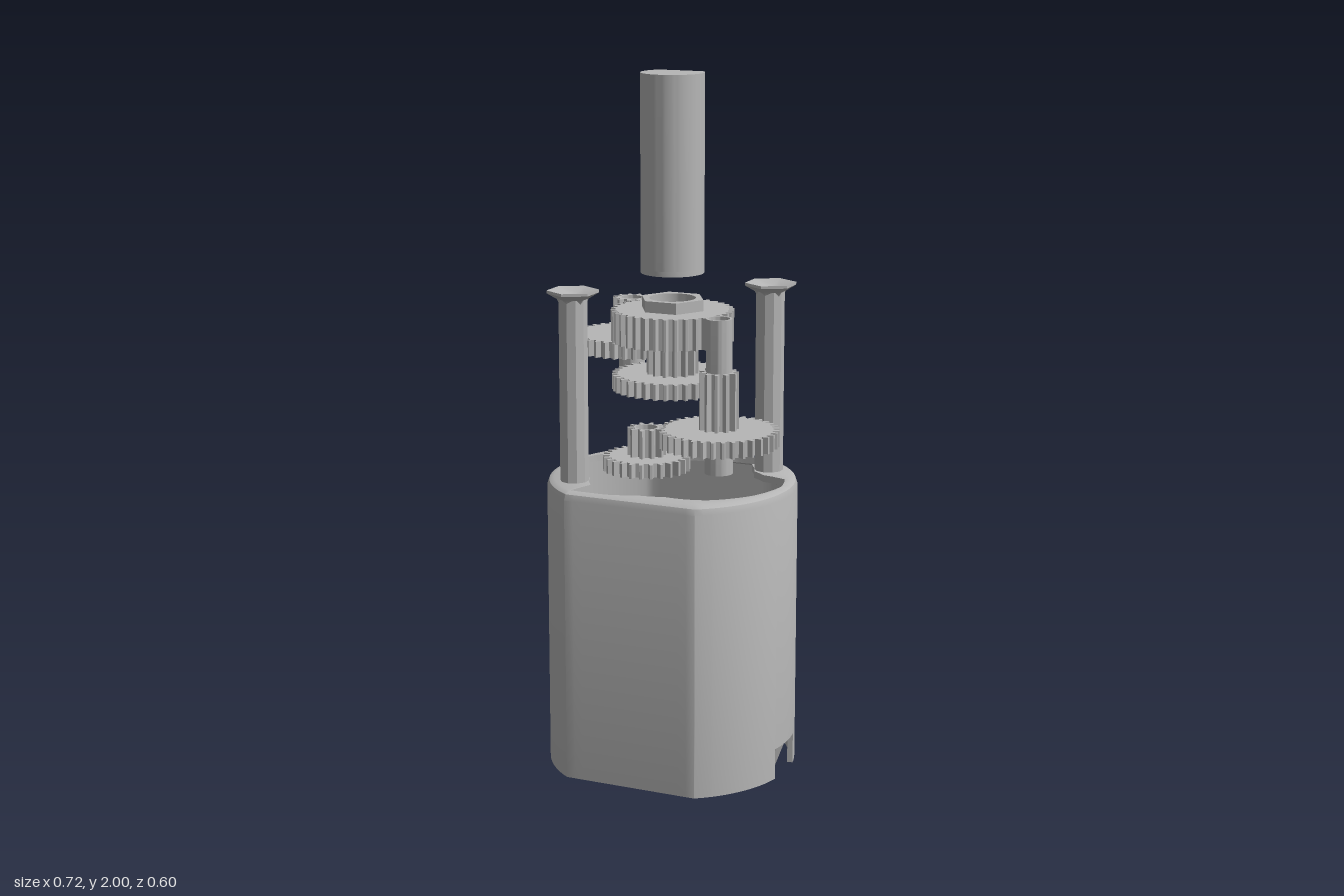
import * as THREE from 'three';
import { toCreasedNormals } from 'three/addons/utils/BufferGeometryUtils.js';

const grey = new THREE.MeshStandardMaterial({ color: 0xb6b6b6 });
grey.name = 'plain grey';

function part(parent, name, geometry) {
  const mesh = new THREE.Mesh(toCreasedNormals(geometry, 0.6), grey);
  mesh.name = name;
  parent.add(mesh);
  return mesh;
}

// Extrude a plan shape upward from y0 to y1
function extrudeUp(shape, y0, y1) {
  return new THREE.ExtrudeGeometry(shape, { depth: y1 - y0, bevelEnabled: false, curveSegments: 24 })
    .rotateX(-Math.PI / 2).translate(0, y0, 0);
}

function addBore(shape, radius) {
  if (radius) shape.holes.push(new THREE.Path().absarc(0, 0, radius, 0, Math.PI * 2, true));
  return shape;
}

// Spur gear with narrow trapezoid teeth
function gearShape(root, tip, teeth, bore) {
  const pts = [];
  const pitch = (Math.PI * 2) / teeth;
  for (let i = 0; i < teeth; i++) {
    for (const [f, r] of [[0, root], [0.4, root], [0.58, tip], [0.82, tip]]) {
      const a = (i + f) * pitch;
      pts.push(new THREE.Vector2(r * Math.cos(a), r * Math.sin(a)));
    }
  }
  return addBore(new THREE.Shape(pts), bore);
}

function tubeShape(radius, bore) {
  return addBore(new THREE.Shape().absarc(0, 0, radius, 0, Math.PI * 2, false), bore);
}

// Radius of the rounded plan: a circle cut by two flats
function planRadius(a, inset) {
  return Math.min(0.36 - inset, (0.3 - inset) / Math.max(Math.abs(Math.sin(a)), 1e-6));
}

// Radius of the top opening, narrowing at the two post corners
const opening = [[-1.571, 0.25], [-0.966, 0.334], [-0.881, 0.259], [-0.576, 0.239], [-0.395, 0.26],
  [-0.249, 0.325], [0, 0.335], [0.38, 0.323], [0.833, 0.297], [1.243, 0.248], [1.571, 0.25]];
function openingRadius(a) {
  const t = a - Math.PI * Math.round(a / Math.PI);
  for (let i = 1; i < opening.length; i++) {
    const [a0, r0] = opening[i - 1], [a1, r1] = opening[i];
    if (t <= a1) return r0 + (r1 - r0) * (t - a0) / (a1 - a0);
  }
  return 0.25;
}

// Thin-walled housing, open below, with notches along its lower edge
function housingGeometry() {
  const notches = [[0, 0.196], [Math.PI, 0.196], [Math.PI * 1.5, 0.155]];
  const columns = [];
  const corner = Math.atan2(0.3, 0.2);
  const angles = [corner, Math.PI - corner, Math.PI + corner, 2 * Math.PI - corner];
  for (let i = 0; i < 96; i++) angles.push((i / 96) * Math.PI * 2);
  for (const [a] of opening) angles.push((a + Math.PI * 2) % (Math.PI * 2), a + Math.PI);
  for (const a of angles) {
    const cut = notches.some(([c, w]) => Math.abs(Math.atan2(Math.sin(a - c), Math.cos(a - c))) < w);
    columns.push({ a, low: cut ? 0.09 : 0, order: a });
  }
  for (const [c, w] of notches) {
    for (const s of [-1, 1]) {
      const a = (c + s * w + Math.PI * 2) % (Math.PI * 2);
      columns.push({ a, low: 0, order: a + s * 1e-5 }, { a, low: 0.09, order: a - s * 1e-5 });
    }
  }
  columns.sort((p, q) => p.order - q.order);

  const rings = columns.map(({ a, low }) => {
    const hole = Math.min(openingRadius(a), planRadius(a, 0.022));
    return [[planRadius(a, 0), low], [planRadius(a, 0), 0.825], [planRadius(a, 0.006), 0.842],
      [planRadius(a, 0.02), 0.85], [hole, 0.85], [hole, 0.83], [planRadius(a, 0.016), 0.825],
      [planRadius(a, 0.016), low]].map(([r, y]) => [r * Math.cos(a), y, r * Math.sin(a)]);
  });
  const pos = [];
  for (let j = 0; j < rings.length; j++) {
    const p = rings[j], q = rings[(j + 1) % rings.length];
    for (let k = 0; k < p.length; k++) {
      const n = (k + 1) % p.length;
      pos.push(...p[k], ...p[n], ...q[n], ...p[k], ...q[n], ...q[k]);
    }
  }
  const g = new THREE.BufferGeometry();
  g.setAttribute('position', new THREE.Float32BufferAttribute(pos, 3));
  g.computeVertexNormals();
  return g;
}

export function createModel() {
  const model = new THREE.Group();
  model.name = 'gearbox';
  part(model, 'housing', housingGeometry());

  // Bent tabs between the side notches, and the two screw posts
  for (const s of [-1, 1]) {
    const tab = part(model, 'bentTab', new THREE.BoxGeometry(0.014, 0.105, 0.07));
    tab.position.set(s * 0.325, 0.052, 0);
    tab.rotation.z = -s * 0.36;

    const post = new THREE.Group();
    post.name = 'screwPost';
    post.position.set(s * 0.23, 0, -s * 0.17);
    model.add(post);
    part(post, 'postShank', new THREE.CylinderGeometry(0.041, 0.041, 0.545, 10).translate(0, 1.1075, 0));
    const profile = [[0.04, 1.365], [0.045, 1.375], [0.074, 1.392], [0.074, 1.4], [0.03, 1.388], [0, 1.378]];
    part(post, 'screwHead', new THREE.LatheGeometry(profile.map(([x, y]) => new THREE.Vector2(x, y)), 6));
  }

  // Gear clusters: position, then stacked toothed wheels and plain sleeves
  const clusters = [
    { name: 'firstGear', x: 0, z: 0.178,
      wheels: [[0.91, 0.95, 0.104, 0.123, 26, 0.03], [0.95, 1.03, 0.036, 0.054, 10, 0.03]],
      sleeves: [[0.9, 0.91, 0.045, 0.03]] },
    { name: 'secondGear', x: 0.188, z: 0.105,
      wheels: [[0.98, 1.027, 0.152, 0.17, 36, 0.03], [1.027, 1.19, 0.04, 0.056, 11, 0.03]],
      sleeves: [[0.9, 0.98, 0.04, 0.03], [1.19, 1.34, 0.037, 0.03]] },
    { name: 'thirdGear', x: 0, z: 0,
      wheels: [[1.105, 1.15, 0.155, 0.173, 36, 0.055], [1.15, 1.24, 0.056, 0.074, 14, 0.045]],
      sleeves: [] },
    { name: 'fourthGear', x: -0.183, z: -0.12,
      wheels: [[1.183, 1.23, 0.154, 0.171, 36, 0.03], [1.23, 1.335, 0.04, 0.056, 11, 0.03]],
      sleeves: [[1.05, 1.183, 0.038, 0.03]] },
    { name: 'outputGear', x: 0, z: 0,
      wheels: [[1.245, 1.335, 0.16, 0.175, 36, 0]], sleeves: [] },
  ];
  for (const c of clusters) {
    const group = new THREE.Group();
    group.name = c.name;
    group.position.set(c.x, 0, c.z);
    for (const [y0, y1, ...dims] of c.wheels) part(group, 'toothedWheel', extrudeUp(gearShape(...dims), y0, y1));
    for (const [y0, y1, r, bore] of c.sleeves) part(group, 'sleeve', extrudeUp(tubeShape(r, bore), y0, y1));
    model.add(group);
  }

  // Hexagonal collar on the output gear
  const hex = new THREE.Shape(Array.from({ length: 6 }, (_, i) =>
    new THREE.Vector2(0.095 * Math.cos(i * Math.PI / 3), 0.095 * Math.sin(i * Math.PI / 3))));
  part(model, 'outputCollar', extrudeUp(addBore(hex, 0.066), 1.335, 1.367));

  // Output shaft with one flat at the back and a round foot
  const flat = Math.asin(0.06 / 0.09);
  const dShape = new THREE.Shape().absarc(0, 0, 0.09, Math.PI - flat, Math.PI * 2 + flat, false);
  part(model, 'outputShaft', extrudeUp(dShape, 1.455, 2));
  part(model, 'shaftFoot', extrudeUp(tubeShape(0.09, 0), 1.44, 1.455));
  return model;
}
